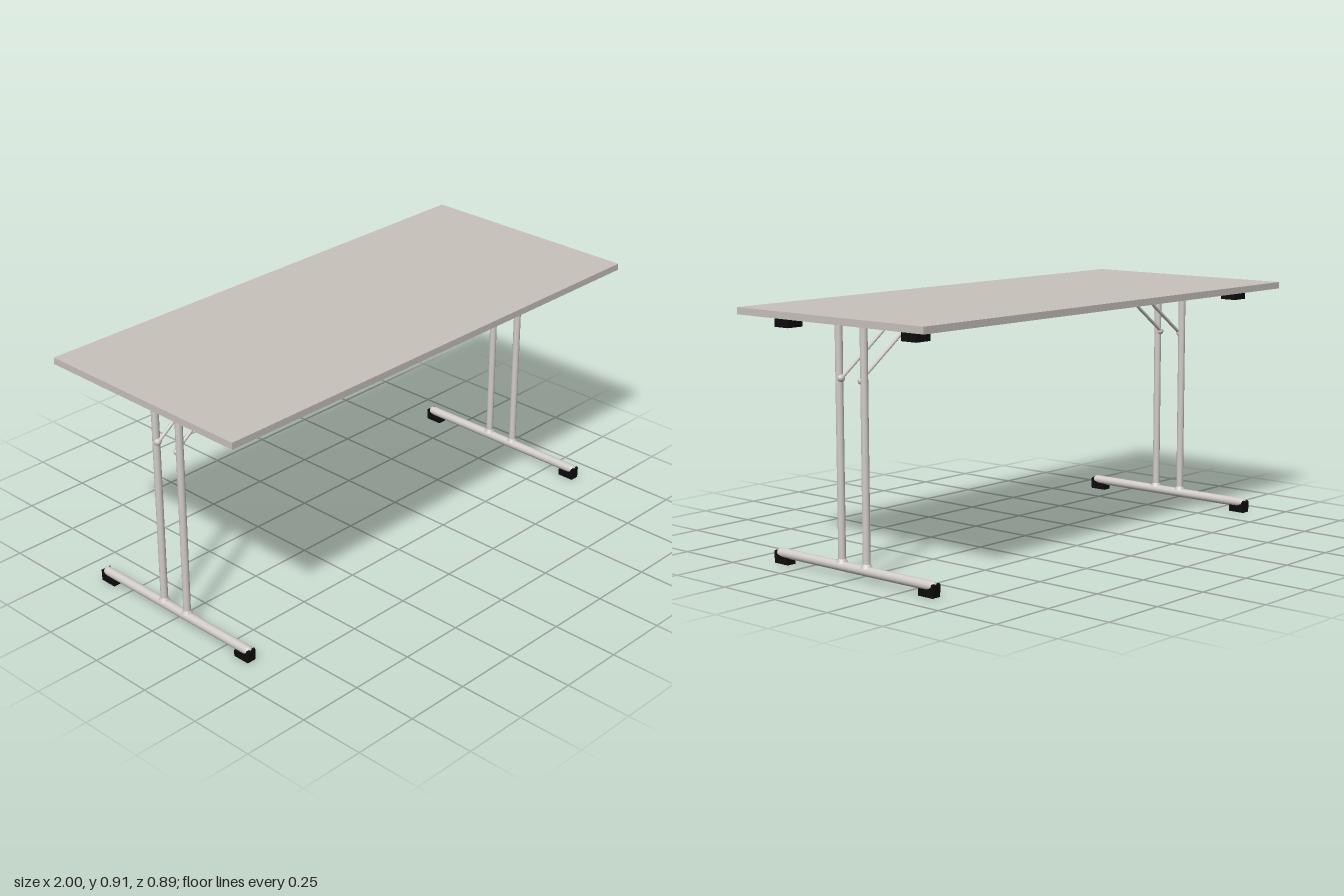
import * as THREE from 'three';

export function createModel() {
  const model = new THREE.Group();
  const topMat = new THREE.MeshStandardMaterial({ name: 'warm grey laminate', color: 0xc8c2bd });
  const steel = new THREE.MeshStandardMaterial({ name: 'light grey steel', color: 0xd0cbc6 });
  const black = new THREE.MeshStandardMaterial({ name: 'black plastic', color: 0x0c0c0c });

  const add = (parent, name, geo, mat, x = 0, y = 0, z = 0) => {
    const mesh = new THREE.Mesh(geo, mat);
    mesh.name = name;
    mesh.position.set(x, y, z);
    parent.add(mesh);
    return mesh;
  };

  // Table top slab
  add(model, 'tableTop', new THREE.BoxGeometry(2, 0.025, 0.892), topMat, 0, 0.8975, 0);

  // Side profile of a plastic foot cap: low sole rising to a closed outer end
  const capShape = new THREE.Shape();
  [[0.318, 0], [0.385, 0], [0.386, 0.042], [0.38, 0.047], [0.374, 0.034], [0.352, 0.025], [0.318, 0.024]]
    .forEach(([z, y], i) => (i ? capShape.lineTo(z, y) : capShape.moveTo(z, y)));
  const capGeo = new THREE.ExtrudeGeometry(capShape, { depth: 0.036, bevelEnabled: false });
  capGeo.translate(0, 0, -0.018);
  capGeo.rotateY(-Math.PI / 2);

  const legGeo = new THREE.CylinderGeometry(0.0135, 0.0135, 0.845, 20);
  const collarGeo = new THREE.CylinderGeometry(0.02, 0.015, 0.014, 20);
  const weldGeo = new THREE.CylinderGeometry(0.0135, 0.021, 0.014, 20);
  const padGeo = new THREE.BoxGeometry(0.068, 0.044, 0.067);
  const barGeo = new THREE.CapsuleGeometry(0.0172, 0.736, 6, 20);
  barGeo.rotateX(Math.PI / 2);

  for (const side of [1, -1]) {
    const frame = new THREE.Group();
    frame.name = side > 0 ? 'leftLegFrame' : 'rightLegFrame';
    frame.rotation.y = side > 0 ? 0 : Math.PI;
    model.add(frame);
    const legX = 0.887;

    add(frame, 'footBar', barGeo, steel, legX, 0.0365, 0);

    for (const s of [1, -1]) {
      // Upright tube with its collar and weld
      add(frame, 'leg', legGeo, steel, legX, 0.4625, s * 0.06);
      add(frame, 'legCollar', collarGeo, black, legX, 0.879, s * 0.06);
      add(frame, 'legWeld', weldGeo, steel, legX, 0.056, s * 0.06);

      // Folding brace running up to the underside of the top
      const path = new THREE.CurvePath();
      const p = [[0.897, 0.684], [0.63, 0.877], [0.615, 0.881], [0.58, 0.881]]
        .map(([x, y]) => new THREE.Vector3(x, y, s * 0.046));
      path.add(new THREE.LineCurve3(p[0], p[1]));
      path.add(new THREE.QuadraticBezierCurve3(p[1], p[2], p[2].clone().lerp(p[3], 0.3)));
      path.add(new THREE.LineCurve3(p[2].clone().lerp(p[3], 0.3), p[3]));
      add(frame, 'foldingBrace', new THREE.TubeGeometry(path, 40, 0.0065, 10), steel);
      const pivot = add(frame, 'bracePivot', new THREE.SphereGeometry(0.012, 14, 10), steel, 0.889, 0.688, s * 0.049);
      pivot.scale.set(1.2, 1.1, 1);

      // Foot cap and stacking pad
      const cap = add(frame, 'footCap', capGeo, black, legX, 0, 0);
      cap.rotation.y = s > 0 ? 0 : Math.PI;
      add(frame, 'stackingPad', padGeo, black, 0.89, 0.865, s * 0.305);
    }
  }
  return model;
}
